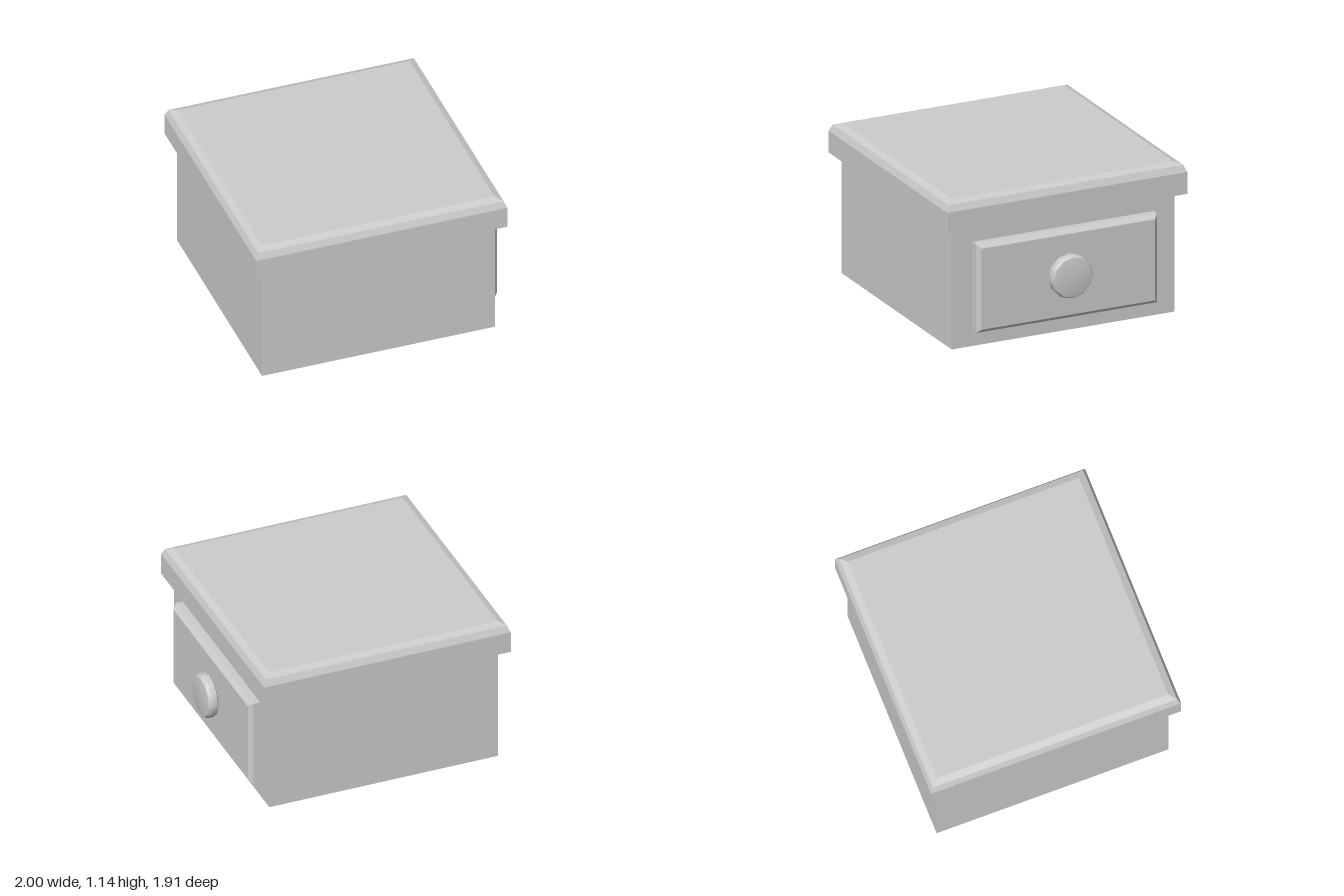
import * as THREE from 'three';
import { toCreasedNormals } from 'three/addons/utils/BufferGeometryUtils.js';

// Stack of rectangular rings [halfX, halfZ, y]; a zero-size ring closes an end.
function rectLoft(rings) {
  const positions = [], index = [];
  for (const [a, b, y] of rings) {
    positions.push(-a, y, b, a, y, b, a, y, -b, -a, y, -b);
  }
  for (let r = 0; r < rings.length - 1; r++) {
    for (let k = 0; k < 4; k++) {
      const p = r * 4 + k, q = r * 4 + (k + 1) % 4;
      index.push(p, q, q + 4, p, q + 4, p + 4);
    }
  }
  const geometry = new THREE.BufferGeometry();
  geometry.setAttribute('position', new THREE.Float32BufferAttribute(positions, 3));
  geometry.setIndex(index);
  geometry.computeVertexNormals();
  return geometry;
}

export function createModel() {
  const group = new THREE.Group();
  const flat = new THREE.MeshStandardMaterial({ color: 0xcccccc, flatShading: true, side: THREE.DoubleSide });
  const smooth = new THREE.MeshStandardMaterial({ color: 0xcccccc });
  const centreX = -0.0475;

  function add(name, geometry, material, x, y) {
    const mesh = new THREE.Mesh(geometry, material);
    mesh.name = name;
    mesh.position.set(x, y, 0);
    group.add(mesh);
    return mesh;
  }

  // Thin-walled body, open underneath and into the lid
  add('body', rectLoft([[0.8825, 0.885, 0], [0.8825, 0.885, 0.905]]), flat, centreX, 0);

  // Hollow lid: ceiling, inner wall, underside rim, outer wall, bevelled top
  const lidProfile = [
    [0, 1.075], [0.87, 1.075], [0.8825, 1.06], [0.8825, 0.905],
    [0.9525, 0.905], [0.9525, 1.07], [0.93, 1.12], [0.88, 1.14], [0, 1.14],
  ];
  const lidRings = lidProfile.map(([a, y]) => [a, a && a + 0.0025, y]);
  add('lid', rectLoft(lidRings), flat, centreX, 0);

  // Bevelled drawer front on the +x side
  const drawer = rectLoft([
    [0.3375, 0.72, 0], [0.3375, 0.72, 0.053], [0.3075, 0.69, 0.085], [0, 0, 0.085],
  ]);
  add('drawerFront', drawer, flat, 0.835, 0.4525).rotation.z = -Math.PI / 2;

  // Round knob with softened edge
  const knobProfile = [
    [0.15, 0], [0.163, 0.01], [0.165, 0.025], [0.165, 0.05], [0.161, 0.066], [0.152, 0.077], [0.14, 0.08], [0, 0.08],
  ].map(([r, y]) => new THREE.Vector2(r, y));
  const knob = toCreasedNormals(new THREE.LatheGeometry(knobProfile, 12), 0.6);
  add('knob', knob, smooth, 0.92, 0.455).rotation.z = -Math.PI / 2;

  return group;
}
